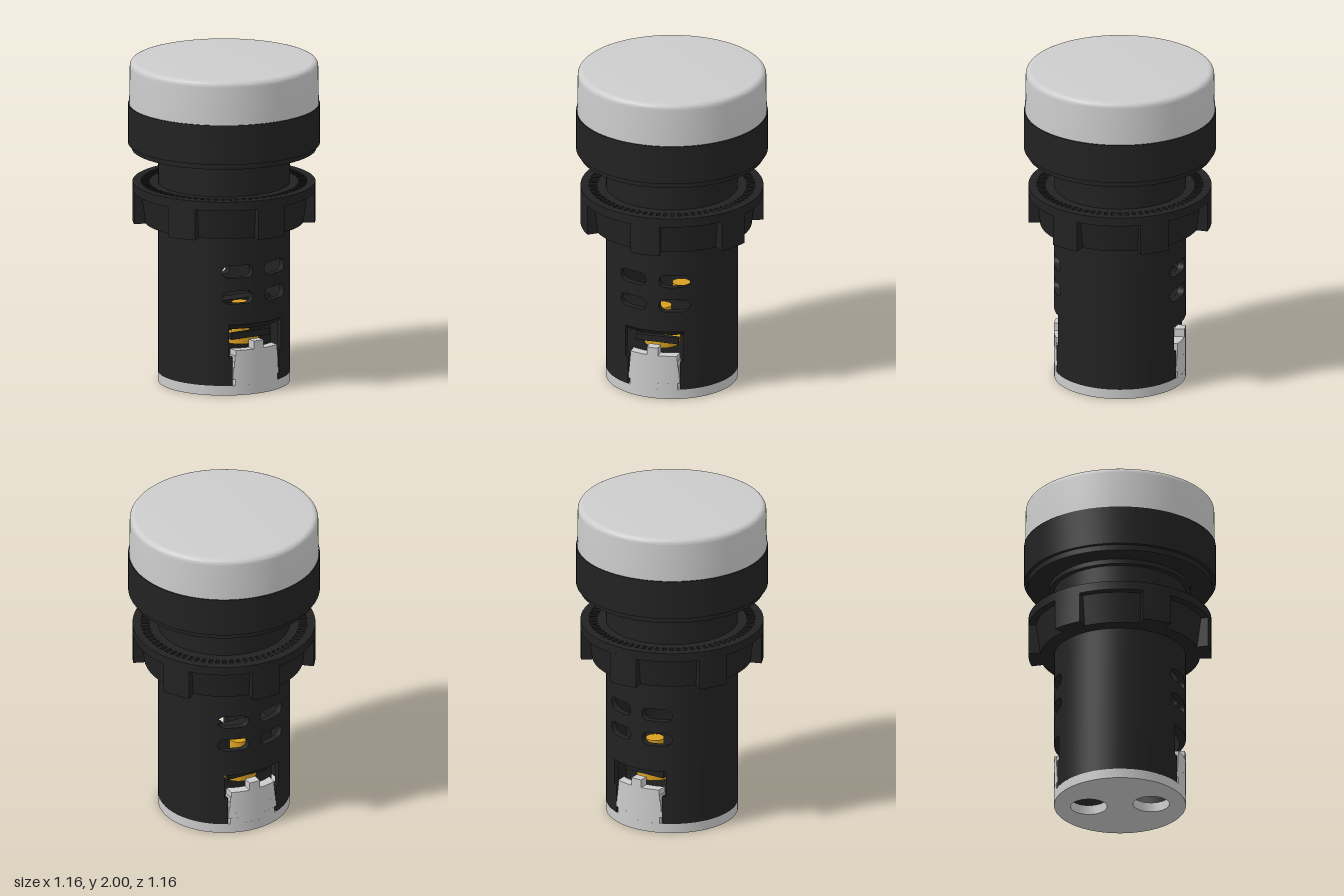
import * as THREE from 'three';
import { mergeGeometries, toCreasedNormals } from 'three/addons/utils/BufferGeometryUtils.js';

const black = new THREE.MeshStandardMaterial({ color: 0x222222 });
const grey = new THREE.MeshStandardMaterial({ color: 0xcccccc });
const gold = new THREE.MeshStandardMaterial({ color: 0xd9a020 });
const R = 0.4, RI = 0.36;

function part(name, geometry, material) {
  const mesh = new THREE.Mesh(toCreasedNormals(geometry, 0.5), material);
  mesh.name = name;
  return mesh;
}

function lathe(points, segments = 96) {
  return new THREE.LatheGeometry(points.map(([x, y]) => new THREE.Vector2(x, y)), segments);
}

// Closed solid swept along t; ring(t) gives [outer low, outer high, inner high, inner low]
function sweep(t0, t1, n, ring) {
  const pos = [], idx = [];
  for (let i = 0; i <= n; i++) {
    // cosine spacing puts more steps at rounded ends
    const t = t0 + (t1 - t0) * (1 - Math.cos(Math.PI * i / n)) / 2;
    for (const p of ring(t)) pos.push(...p);
  }
  for (let i = 0; i < n; i++) {
    for (let k = 0; k < 4; k++) {
      const a = i * 4 + k, b = i * 4 + (k + 1) % 4;
      idx.push(a, a + 4, b + 4, a, b + 4, b);
    }
  }
  const e = n * 4;
  idx.push(0, 1, 2, 0, 2, 3, e + 3, e + 2, e + 1, e + 3, e + 1, e);
  const g = new THREE.BufferGeometry();
  g.setAttribute('position', new THREE.Float32BufferAttribute(pos, 3));
  g.setIndex(idx);
  return g;
}

// Front wall piece between x0 and x1, cut straight along z
function wall(x0, x1, lo, hi, n = 8, loInner = lo, inner = RI) {
  const f = (v, x) => (typeof v === 'function' ? v(x) : v);
  return sweep(x0, x1, n, x => {
    const zo = Math.sqrt(R * R - x * x), zi = Math.sqrt(inner * inner - x * x);
    return [[x, f(lo, x), zo], [x, f(hi, x), zo], [x, f(hi, x), zi], [x, f(loInner, x), zi]];
  });
}

// Curved block between two angles, measured from +z towards +x
function arc(o0, o1, i0, i1, ro, ri, y0, y1, n) {
  return sweep(0, 1, n, t => {
    const o = o0 + (o1 - o0) * t, i = i0 + (i1 - i0) * t;
    const so = ro * Math.sin(o), co = ro * Math.cos(o), si = ri * Math.sin(i), ci = ri * Math.cos(i);
    return [[so, y0, co], [so, y1, co], [si, y1, ci], [si, y0, ci]];
  });
}

// Hollow body half with four vent slots and a terminal window
function bodyHalf(windowTop, windowInner) {
  const top = 1.42, mid = 0.52, low = 0.06, edge = 0.24;
  const h = x => Math.sqrt(Math.max(0, 0.04 ** 2 - Math.max(0, Math.abs(Math.abs(x) - 0.13) - 0.05) ** 2));
  const pieces = [
    wall(-0.04, 0.04, mid, top),
    wall(-0.165, 0.165, windowTop, mid, 16, windowInner),
  ];
  for (const s of [-1, 1]) {
    const w = (a, b, ...rest) => pieces.push(s > 0 ? wall(a, b, ...rest) : wall(-b, -a, ...rest));
    w(0.22, edge, mid, top, 2);
    w(0.04, 0.22, mid, x => 0.61 - h(x), 24);
    w(0.04, 0.22, x => 0.61 + h(x), x => 0.77 - h(x), 24);
    w(0.04, 0.22, x => 0.77 + h(x), top, 24);
    w(0.185, edge, low, mid, 4);
    w(0.165, 0.185, low, 0.24, 2);
    w(0.165, 0.185, windowTop, mid, 2, windowInner);
  }
  const ao = Math.asin(edge / R), ai = Math.asin(edge / RI);
  pieces.push(arc(ao, Math.PI - ao, ai, Math.PI - ai, R, RI, low, top, 40));
  return mergeGeometries(pieces);
}

// Stepped clip tab that rises from the base into the window
function clipTab() {
  const pieces = [wall(-0.15, 0.15, 0.06, 0.1, 12, 0.06, 0.34), wall(-0.035, 0.035, 0.28, 0.33, 4, 0.28, 0.34)];
  for (let i = 0; i < 5; i++) {
    const w = 0.163 - i * 0.004, y = 0.1 + i * 0.036;
    pieces.push(wall(-w, w, y, y + 0.036, 12, y, 0.34));
  }
  return mergeGeometries(pieces);
}

function lockNut() {
  const nut = new THREE.Group();
  nut.name = 'lockNut';
  // Conical hub and flange with a shallow groove in its top
  nut.add(part('nutRing', lathe([
    [0.4, 1.0], [0.485, 1.0], [0.51, 1.19], [0.555, 1.19], [0.555, 1.245], [0.505, 1.245],
    [0.505, 1.225], [0.455, 1.225], [0.455, 1.24], [0.4, 1.24], [0.4, 1.0],
  ]), black));
  const lugs = [], teeth = [];
  for (let i = 0; i < 6; i++) {
    const a = i * Math.PI / 3, d = 0.168;
    lugs.push(arc(a - d, a + d, a - d, a + d, 0.555, 0.44, 1.0, 1.195, 8));
  }
  for (let i = 0; i < 72; i++) {
    const tooth = new THREE.BoxGeometry(0.02, 0.022, 0.054);
    tooth.translate(0, 1.232, 0.48);
    tooth.rotateY(i * Math.PI / 36);
    teeth.push(tooth);
  }
  nut.add(part('gripLugs', mergeGeometries(lugs), black));
  nut.add(part('lockTeeth', mergeGeometries(teeth), black));
  return nut;
}

export function createModel() {
  const model = new THREE.Group();

  // Lens with a rounded rim
  const lens = [[0, 1.72], [0.576, 1.72], [0.572, 1.965]];
  for (let i = 1; i <= 8; i++) {
    const a = i * Math.PI / 16;
    lens.push([0.537 + 0.035 * Math.cos(a), 1.965 + 0.035 * Math.sin(a)]);
  }
  lens.push([0, 2]);
  model.add(part('lens', lathe(lens), grey));

  // Bezel with gasket steps below
  model.add(part('bezel', lathe([
    [0, 1.42], [0.43, 1.42], [0.43, 1.45], [0.56, 1.45], [0.56, 1.485],
    [0.582, 1.485], [0.582, 1.73], [0, 1.73],
  ]), black));

  model.add(lockNut());

  // Base cap with two screw access holes
  const disc = new THREE.Shape().absarc(0, 0, R, 0, Math.PI * 2);
  for (const s of [-1, 1]) disc.holes.push(new THREE.Path().absarc(0, s * 0.19, 0.11, 0, Math.PI * 2, true));
  const cap = new THREE.ExtrudeGeometry(disc, { depth: 0.06, bevelEnabled: false, curveSegments: 48 });
  cap.rotateX(-Math.PI / 2);
  model.add(part('baseCap', cap, grey));

  // Inner wall between the two terminals
  model.add(part('terminalDivider', new THREE.BoxGeometry(0.6, 0.45, 0.1).translate(0, 0.285, 0), black));

  // Body, tab and terminal, once for the front and once for the back
  for (const back of [false, true]) {
    const side = new THREE.Group();
    side.name = back ? 'backHalf' : 'frontHalf';
    side.add(part('body', back ? bodyHalf(0.4, 0.4) : bodyHalf(0.44, 0.405), black));
    side.add(part('clipTab', clipTab(), grey));
    side.add(part('terminalBar', new THREE.BoxGeometry(0.27, 0.04, 0.03).translate(0, 0.35, 0.29), black));
    side.add(part('screwHead', new THREE.CylinderGeometry(0.11, 0.11, 0.04, 32).translate(0, 0.31, 0.19), gold));
    side.add(part('screwShaft', new THREE.CylinderGeometry(0.055, 0.055, 0.21, 24).translate(0, 0.425, 0.19), gold));
    if (back) side.rotation.y = Math.PI;
    model.add(side);
  }
  return model;
}
